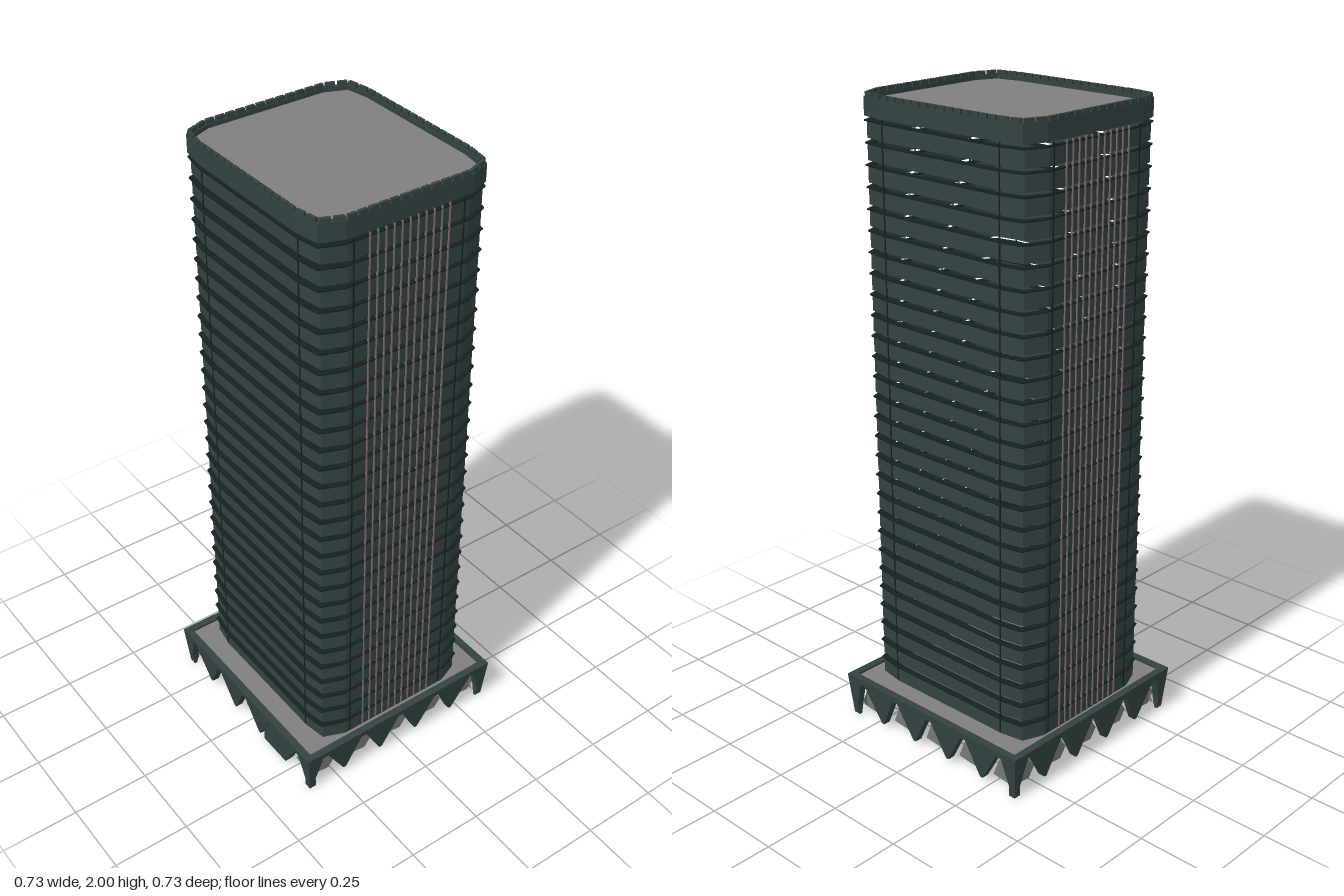
import * as THREE from 'three';

const mat = (name, color, double) => {
  const m = new THREE.MeshStandardMaterial({ color });
  m.name = name;
  if (double) m.side = THREE.DoubleSide;
  return m;
};

// Chamfered floor outline: quarter points mirrored into a closed loop
const QUARTER = [[0.33, 0.205], [0.303, 0.273], [0.226, 0.286]];
function outline(inset, zInset = inset) {
  const q = QUARTER.map(([x, z]) => [x - inset, z - zInset]);
  const r = [...q].reverse();
  return [
    ...q,
    ...r.map(([x, z]) => [-x, z]),
    ...q.map(([x, z]) => [-x, -z]),
    ...r.map(([x, z]) => [x, -z]),
  ].map(([x, z]) => new THREE.Vector2(x, z));
}

// Horizontal plate or ring that stands on y = 0
function storey(outer, hole, height) {
  const shape = new THREE.Shape(outer);
  if (hole) shape.holes.push(new THREE.Path([...hole].reverse()));
  const g = new THREE.ExtrudeGeometry(shape, { depth: height, bevelEnabled: false });
  return g.rotateX(-Math.PI / 2);
}

export function createModel() {
  const group = new THREE.Group();
  const wall = mat('slate green cladding', 0x344242);
  const trim = mat('dark edge trim', 0x172020);
  const stone = mat('grey roofing', 0x807f7d);
  const panel = mat('grey entrance panel', 0x757876, true);
  const mullionMat = mat('brown grey mullion', 0x7a6866);

  const add = (name, geo, material, x = 0, y = 0, z = 0, parent = group) => {
    const m = new THREE.Mesh(geo, material);
    m.name = name;
    m.position.set(x, y, z);
    parent.add(m);
    return m;
  };
  const box = (name, w, h, d, material, x, y, z, parent) =>
    add(name, new THREE.BoxGeometry(w, h, d), material, x, y, z, parent);

  // Floor bands separated by open slots, each with a thin projecting lip
  const pitch = 0.0641, firstSlot = 0.197, slots = 28, gap = 0.011, lip = 0.004;
  const inner = outline(0.014, 0.02);
  const bandGeo = storey(outline(0.001, 0.009), inner, pitch - gap - lip);
  const lowGeo = storey(outline(0.001, 0.009), inner, firstSlot - gap / 2 - lip - 0.13);
  const lipGeo = storey(outline(0), inner, lip);
  for (let i = 0; i < slots; i++) {
    const slot = firstSlot + i * pitch;
    const top = slot - gap / 2;
    if (i === 0) add('lowestBand', lowGeo, wall, 0, 0.13, 0);
    else add('floorBand', bandGeo, wall, 0, slot - pitch + gap / 2, 0);
    add('floorLip', lipGeo, trim, 0, top - lip, 0);
  }

  // Parapet and recessed roof
  const crownBase = firstSlot + (slots - 1) * pitch + gap / 2;
  add('parapet', storey(outline(0), outline(0.012), 1.988 - crownBase), wall, 0, crownBase, 0);
  add('roof', storey(outline(0.011), null, 0.008), stone, 0, 1.967, 0);

  // Small blocks along the parapet edge
  const ring = outline(0.005);
  ring.forEach((a, i) => {
    const b = ring[(i + 1) % ring.length];
    const len = a.distanceTo(b);
    const n = Math.max(2, Math.round(len / 0.032));
    for (let k = 0; k < n; k++) {
      const p = a.clone().lerp(b, (k + 0.5) / n);
      const m = box('parapetBlock', (len / n) * 0.8, 0.013, 0.01, wall, p.x, 1.9935, p.y);
      m.rotation.y = -Math.atan2(b.y - a.y, b.x - a.x);
    }
  });

  // Vertical mullions on the two sides, dark joints on every face
  const shaft = 1.93 - 0.14, mid = 0.14 + shaft / 2;
  for (const s of [-1, 1]) {
    for (let i = -5; i <= 5; i++)
      box('sideMullion', 0.006, shaft, 0.0035, mullionMat, s * 0.33, mid, i * 0.026);
    for (const z of [-0.18, 0.18])
      box('sideJoint', 0.004, shaft, 0.004, trim, s * 0.329, mid, z);
    for (const x of [-0.225, 0.225])
      box('faceJoint', 0.004, shaft, 0.004, trim, x, mid, s * 0.277);
  }

  // Podium: four walls with wedge-shaped piers and triangular openings
  const H = 0.142, half = 0.367, thick = 0.024;
  const pts = [[-half, H], [-half, 0], [-0.357, 0]];
  for (let i = -2; i <= 2; i++) {
    const c = i * 0.15;
    pts.push([c - 0.01, 0.122], [c + 0.01, 0.122]);
    if (i < 2) pts.push([c + 0.07, 0.012], [c + 0.08, 0.012]);
  }
  pts.push([0.357, 0], [half, 0], [half, H]);
  const pierGeo = new THREE.ExtrudeGeometry(
    new THREE.Shape(pts.map(([x, y]) => new THREE.Vector2(x, y))),
    { depth: thick, bevelEnabled: false });
  // Lean the wall inwards towards its foot
  const pos = pierGeo.attributes.position;
  for (let i = 0; i < pos.count; i++) {
    const drop = H - pos.getY(i);
    pos.setZ(i, pos.getZ(i) - drop * 0.09);
    pos.setX(i, pos.getX(i) * (1 - drop * 0.25));
  }
  pierGeo.computeVertexNormals();

  const shardGeo = new THREE.ShapeGeometry(new THREE.Shape(
    [[-0.05, 0.02], [0.03, 0.012], [0.054, 0.045], [0.022, 0.092], [-0.018, 0.1]]
      .map(([x, y]) => new THREE.Vector2(x, y))));

  for (let k = 0; k < 4; k++) {
    const side = new THREE.Group();
    side.name = 'podiumSide';
    side.rotation.y = k * Math.PI / 2;
    add('pierWall', pierGeo, wall, 0, 0, half - thick, side);
    for (let i = -2; i <= 2; i++) {
      if (k === 0 && i === 1) continue;
      add('entrancePanel', shardGeo, panel, i * 0.145, 0, 0.325, side);
    }
    group.add(side);
  }
  box('entranceBlock', 0.12, 0.122, 0.02, wall, 0.16, 0.068, 0.345);
  box('podiumDeck', 0.694, 0.01, 0.694, stone, 0, 0.13, 0);

  return group;
}
